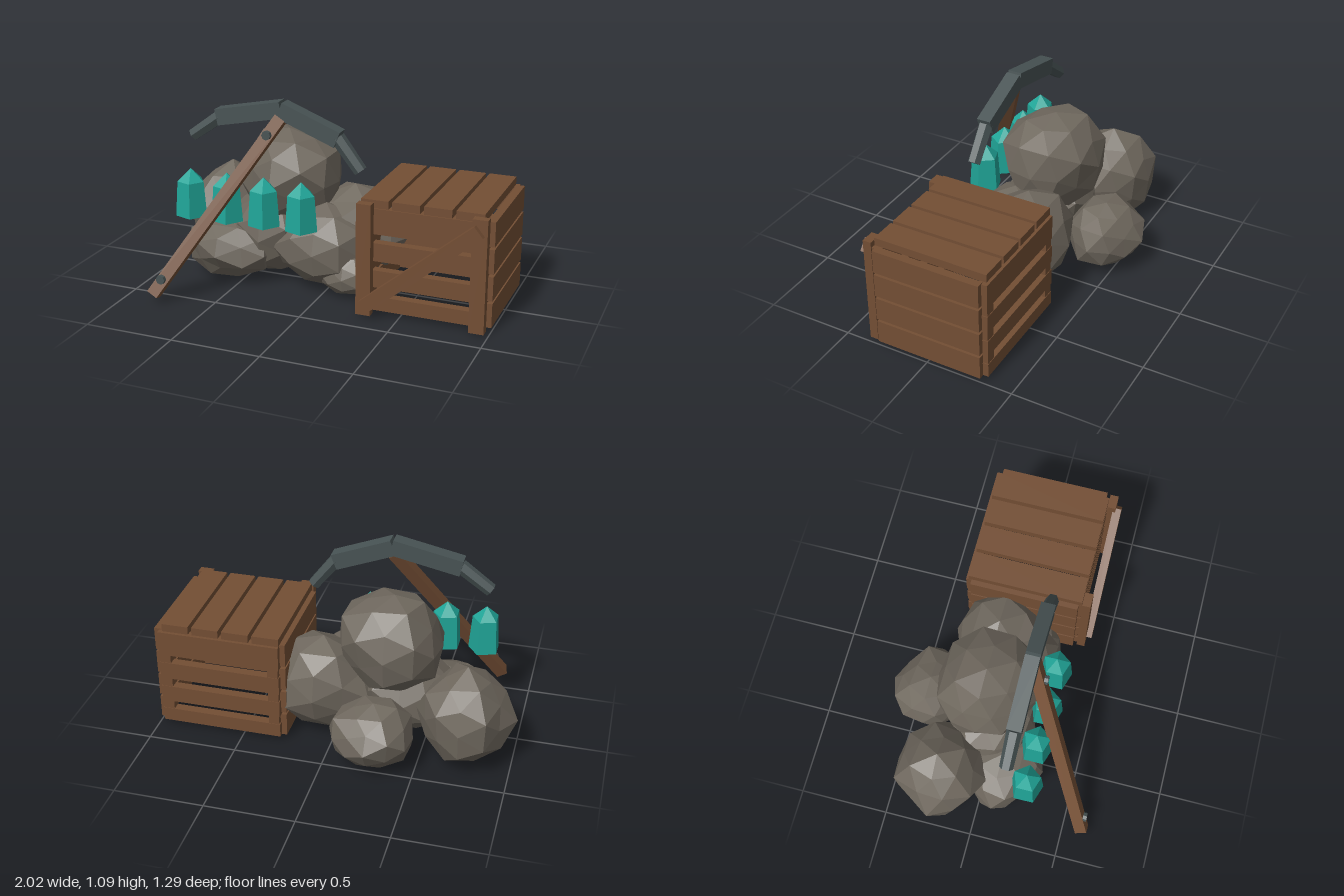
import * as THREE from 'three';

const mat = (name, color, flatShading = true) => {
  const m = new THREE.MeshStandardMaterial({ color, flatShading });
  m.name = name;
  return m;
};

export function createModel() {
  const wood = mat('wood', 0x734e34);
  const stone = mat('stone', 0x6e675d);
  const metal = mat('dark metal', 0x485354);
  const crystal = mat('teal crystal', 0x20a598);

  const root = new THREE.Group();
  const group = (name) => {
    const g = new THREE.Group();
    g.name = name;
    root.add(g);
    return g;
  };
  const add = (parent, name, geo, material, x = 0, y = 0, z = 0) => {
    const m = new THREE.Mesh(geo, material);
    m.name = name;
    m.position.set(x, y, z);
    parent.add(m);
    return m;
  };
  // Box given by its minimum and maximum corners
  const span = (parent, name, a, b, material) =>
    add(parent, name, new THREE.BoxGeometry(b[0] - a[0], b[1] - a[1], b[2] - a[2]), material,
      (a[0] + b[0]) / 2, (a[1] + b[1]) / 2, (a[2] + b[2]) / 2);

  // Crate: slatted walls and lid, open underneath
  const crate = group('crate');
  for (let i = 0; i < 4; i++) {
    const y = 0.025 + i * 0.15;
    span(crate, 'sideSlat', [0.25, y, -0.318], [0.295, y + 0.135, 0.3], wood);
    span(crate, 'sideSlat', [0.955, y, -0.318], [1.0, y + 0.135, 0.3], wood);
    const top = [0.108, 0.257, 0.412, 0.605][i];
    const bottom = [0.028, 0.16, 0.31, 0.462][i];
    span(crate, 'frontSlat', [0.28, bottom, 0.268], [0.97, top, 0.32], wood);
    span(crate, 'backSlat', [0.28, bottom, -0.35], [0.97, top, -0.298], wood);
    const x = 0.28 + i * 0.172;
    span(crate, 'lidBoard', [x, 0.607, -0.335], [x + 0.151, 0.652, 0.318], wood);
  }
  for (const x of [0.27, 0.895]) {
    span(crate, 'frontPost', [x, 0.01, 0.32], [x + 0.082, 0.638, 0.368], wood);
  }
  // Corner battens behind the slat ends
  for (const x of [0.285, 0.905]) {
    span(crate, 'frontBatten', [x, 0.03, 0.27], [x + 0.06, 0.603, 0.317], wood);
    span(crate, 'backBatten', [x, 0.03, -0.347], [x + 0.06, 0.603, -0.3], wood);
  }
  const brace = add(crate, 'diagonalBrace', new THREE.BoxGeometry(0.8, 0.075, 0.048), wood, 0.63, 0.325, 0.376);
  brace.rotation.z = Math.atan2(0.53, 0.64);

  // Rocks: icospheres roughened by a hash of each corner direction
  const rocks = group('rockPile');
  const rock = (c, r, seed) => {
    const geo = new THREE.IcosahedronGeometry(1, 1);
    const p = geo.attributes.position;
    const v = new THREE.Vector3();
    for (let i = 0; i < p.count; i++) {
      v.fromBufferAttribute(p, i).normalize();
      const h = Math.sin(Math.round(v.x * 50) * 12.99 + Math.round(v.y * 50) * 78.23 +
        Math.round(v.z * 50) * 37.72 + seed * 5.17) * 43758.55;
      v.multiplyScalar(0.88 + 0.2 * (h - Math.floor(h)));
      p.setXYZ(i, v.x * r[0], Math.max(v.y * r[1], 0.002 - c[1]), v.z * r[2]);
    }
    geo.computeVertexNormals();
    add(rocks, 'rock', geo, stone, ...c);
  };
  rock([-0.295, 0.59, -0.07], [0.31, 0.3, 0.285], 1);
  rock([-0.735, 0.29, -0.235], [0.262, 0.28, 0.255], 2);
  rock([-0.265, 0.2, -0.415], [0.232, 0.2, 0.225], 3);
  rock([0.09, 0.295, -0.105], [0.32, 0.272, 0.25], 4);
  rock([-0.59, 0.185, 0.09], [0.28, 0.185, 0.22], 5);
  rock([-0.03, 0.25, 0.04], [0.3, 0.25, 0.24], 6);
  rock([0.14, 0.13, 0.1], [0.17, 0.13, 0.16], 7);
  rock([-0.37, 0.27, -0.03], [0.29, 0.26, 0.25], 8);

  // Crystals: tapered five-sided shafts with pointed tips
  for (let i = 0; i < 4; i++) {
    const g = group('crystal');
    g.position.set(-0.749 + i * 0.222, 0, 0.265);
    g.rotation.y = 0.32;
    add(g, 'crystalShaft', new THREE.CylinderGeometry(0.077, 0.092, 0.2, 5), crystal, 0, 0.505, 0);
    add(g, 'crystalTip', new THREE.ConeGeometry(0.077, 0.072, 5), crystal, 0, 0.641, 0);
  }

  // Pickaxe handle with two round bolts
  const pick = group('pickaxe');
  const foot = new THREE.Vector3(-0.822, 0.045, 0.61);
  const dir = new THREE.Vector3(-0.235, 1.0, 0.165).sub(foot);
  const handle = add(pick, 'handle', new THREE.BoxGeometry(0.065, dir.length(), 0.067), wood,
    ...foot.clone().addScaledVector(dir, 0.5).toArray());
  const along = dir.clone().normalize();
  const side = new THREE.Vector3(along.y, -along.x, 0).normalize();
  handle.quaternion.setFromRotationMatrix(
    new THREE.Matrix4().makeBasis(side, along, side.clone().cross(along)));
  for (const [x, y, z] of [[-0.77, 0.14, 0.612], [-0.29, 0.912, 0.25]]) {
    add(pick, 'bolt', new THREE.CylinderGeometry(0.026, 0.026, 0.022, 8), metal, x, y, z).rotation.x = Math.PI / 2;
  }

  // Pickaxe head: two box arms ending in six-sided points
  const between = (name, geo, a, b) => {
    const m = add(pick, name, geo, metal, (a[0] + b[0]) / 2, (a[1] + b[1]) / 2, 0.16);
    m.rotation.z = Math.atan2(b[1] - a[1], b[0] - a[0]) - Math.PI / 2;
  };
  const arm = (a, b) => between('headArm',
    new THREE.BoxGeometry(0.092, Math.hypot(b[0] - a[0], b[1] - a[1]), 0.08), a, b);
  const tip = (a, b) => between('headTip',
    new THREE.CylinderGeometry(0.037, 0.041, Math.hypot(b[0] - a[0], b[1] - a[1]), 6), a, b);
  arm([-0.23, 1.044], [-0.616, 0.965]);
  arm([-0.238, 1.042], [0.095, 0.912]);
  tip([-0.607, 0.963], [-0.778, 0.84]);
  tip([0.085, 0.917], [0.218, 0.745]);

  return root;
}
